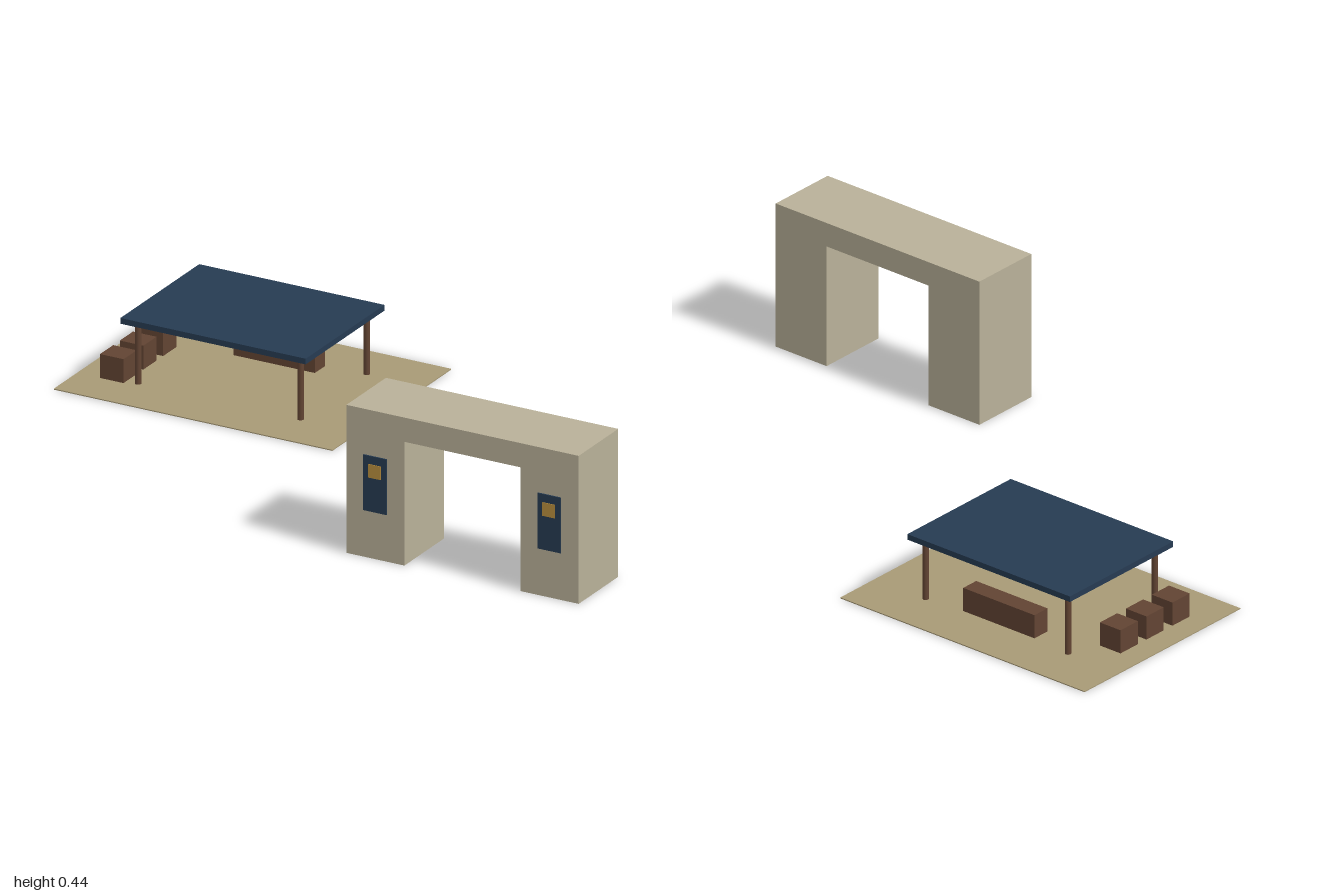
import * as THREE from 'three';

const paint = (color) => new THREE.MeshStandardMaterial({ color });

export function createModel() {
  const model = new THREE.Group();
  const stone = paint(0xb9b199), sand = paint(0xa89a76), navy = paint(0x263b52);
  const wood = paint(0x624433), gold = paint(0xb98f3e);

  const add = (parent, name, geometry, material, x = 0, y = 0, z = 0) => {
    const mesh = new THREE.Mesh(geometry, material);
    mesh.name = name;
    mesh.position.set(x, y, z);
    parent.add(mesh);
    return mesh;
  };
  // Box given by its centre in x and z and by its underside in y
  const box = (parent, name, material, w, h, d, x, y, z) =>
    add(parent, name, new THREE.BoxGeometry(w, h, d), material, x, y + h / 2, z);

  // Gateway: one U-shaped block with an open passage
  const gate = new THREE.Group();
  gate.name = 'gateway';
  gate.position.set(0.633, 0, 0.411);
  model.add(gate);
  const outer = 0.366, inner = 0.183, top = 0.44, lintel = 0.368, depth = 0.22;
  const outline = new THREE.Shape([
    [-outer, 0], [-inner, 0], [-inner, lintel], [inner, lintel],
    [inner, 0], [outer, 0], [outer, top], [-outer, top],
  ].map(([x, y]) => new THREE.Vector2(x, y)));
  add(gate, 'gateBody', new THREE.ExtrudeGeometry(outline, { depth, bevelEnabled: false }), stone);

  // Banner with a square badge on each gate leg
  for (const side of [-1, 1]) {
    const x = side * 0.2745;
    box(gate, 'banner', navy, 0.073, 0.165, 0.004, x, 0.14, depth + 0.002);
    box(gate, 'bannerBadge', gold, 0.04, 0.04, 0.003, x, 0.241, depth + 0.0045);
  }

  // Rest area: ground patch with a flat canopy on four posts
  const shelter = new THREE.Group();
  shelter.name = 'shelter';
  shelter.position.set(-0.561, 0, -0.307);
  model.add(shelter);
  box(shelter, 'ground', sand, 0.878, 0.003, 0.66, 0, 0, 0);
  box(shelter, 'canopy', navy, 0.584, 0.017, 0.438, 0, 0.186, 0);
  const postGeometry = new THREE.CylinderGeometry(0.0092, 0.0092, 0.185, 10);
  for (const sx of [-1, 1]) {
    for (const sz of [-1, 1]) {
      add(shelter, 'post', postGeometry, wood, sx * 0.256, 0.0935, sz * 0.184);
    }
  }

  // Long bench at the back, three crates along the right edge
  box(shelter, 'bench', wood, 0.256, 0.073, 0.055, 0.001, 0.001, -0.147);
  for (const z of [-0.055, 0.055, 0.165]) {
    box(shelter, 'crate', wood, 0.074, 0.073, 0.073, -0.329, 0.001, z);
  }

  return model;
}
